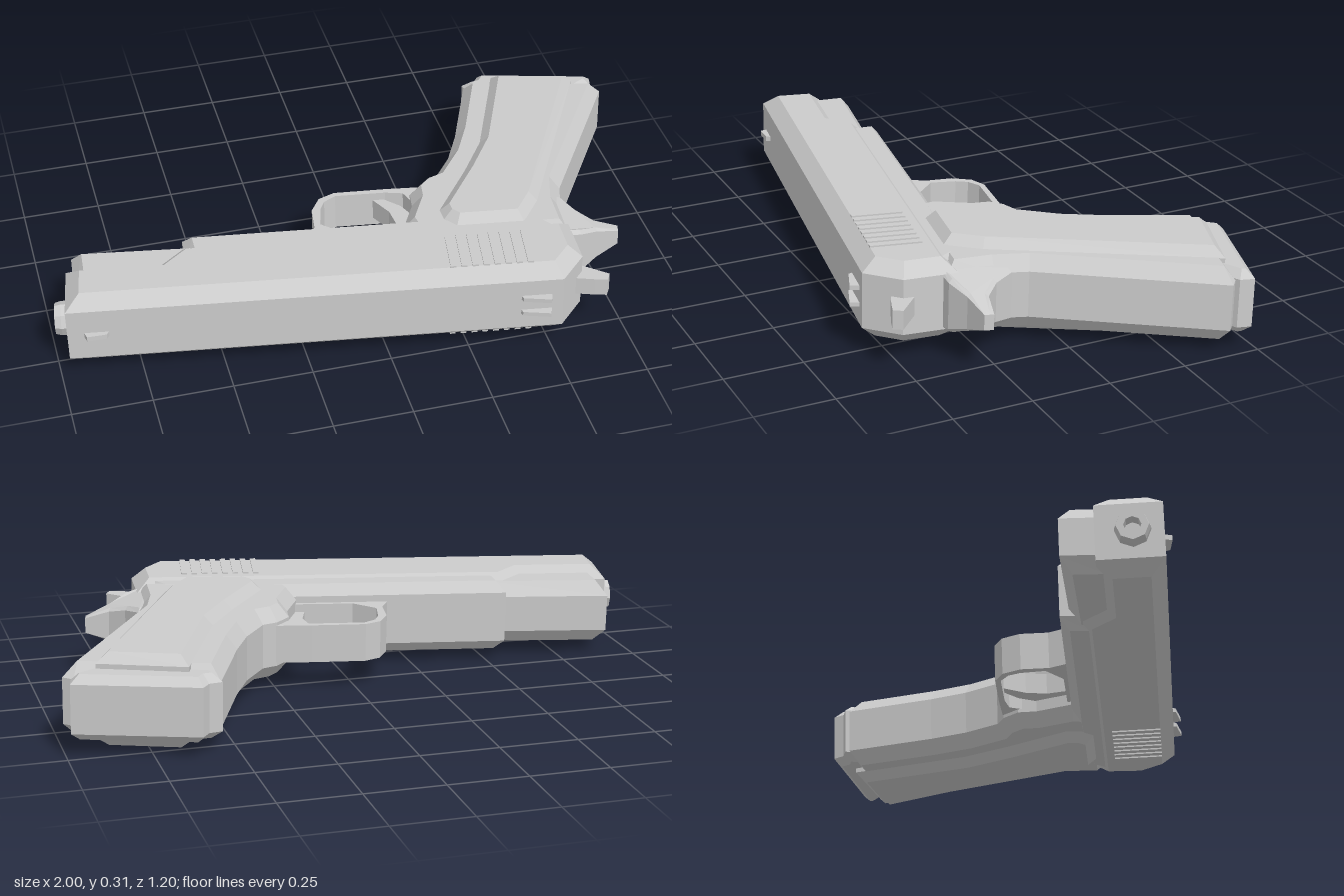
import * as THREE from 'three';

const material = new THREE.MeshStandardMaterial({ color: 0xcccccc, flatShading: true });

function addMesh(parent, name, geometry) {
  const mesh = new THREE.Mesh(geometry, material);
  mesh.name = name;
  parent.add(mesh);
  return mesh;
}

const toShape = (pts) => new THREE.Shape(pts.map(([x, y]) => new THREE.Vector2(x, y)));

// Side profile given a symmetric thickness and one flat chamfer of
// `inset` across the outline and `drop` through the thickness.
function slab(pts, half, inset = 0, drop = inset, hole = null) {
  const shape = toShape(pts);
  if (hole) shape.holes.push(toShape(hole));
  const depth = 2 * (half - drop);
  const geometry = new THREE.ExtrudeGeometry(shape, {
    depth, bevelEnabled: inset > 0, bevelSegments: 1,
    bevelSize: inset, bevelOffset: -inset, bevelThickness: drop,
  });
  return geometry.translate(0, 0, -depth / 2);
}

function box(parent, name, w, h, d, x, y, z) {
  return addMesh(parent, name, new THREE.BoxGeometry(w, h, d).translate(x, y, z));
}

// Upper assembly, drawn along the barrel axis
function buildSlide() {
  const g = new THREE.Group();
  g.name = 'slideAssembly';

  addMesh(g, 'slide', slab([
    [-0.905, 0.275], [-0.62, 0.275], [-0.55, 0.2], [0.675, 0.2],
    [0.69, 0.37], [0.615, 0.476], [-0.905, 0.476],
  ], 0.128, 0.045, 0.04));
  addMesh(g, 'slideNose', slab([
    [-0.892, 0.172], [-0.45, 0.18], [-0.45, 0.34], [-0.88, 0.34],
  ], 0.105, 0.035, 0.045));
  addMesh(g, 'dustCover', slab([
    [-0.543, 0.15], [0.25, 0.145], [0.6, 0.17], [0.66, 0.265], [-0.53, 0.265],
  ], 0.119, 0.03, 0.035));

  // Barrel end with an open bore
  const tube = [[0.026, -0.02], [0.026, 0.07], [0.048, 0.07], [0.053, 0.05], [0.053, 0], [0.026, -0.02]]
    .map(([r, y]) => new THREE.Vector2(r, y));
  addMesh(g, 'muzzle', new THREE.LatheGeometry(tube, 8).rotateZ(Math.PI / 2).translate(-0.873, 0.385, 0))
    .material = Object.assign(material.clone(), { side: THREE.DoubleSide });

  // Grip ribs at the rear of the slide
  for (const side of [-1, 1]) {
    for (let i = 0; i < 8; i++) {
      box(g, 'slideRib', 0.018, 0.16, 0.012, 0.28 + i * 0.034, 0.352, side * 0.127);
    }
  }

  // Sights
  addMesh(g, 'frontSight', slab([[-0.86, 0.46], [-0.77, 0.46], [-0.785, 0.49], [-0.845, 0.497]], 0.008));
  for (const side of [-1, 1]) {
    const ear = addMesh(g, 'rearSight', slab([[0.48, 0.46], [0.585, 0.46], [0.575, 0.504], [0.49, 0.488]], 0.007));
    ear.position.z = side * 0.027;
  }
  return g;
}

// Lower assembly, drawn in the overall top plane
function buildFrame() {
  const g = new THREE.Group();
  g.name = 'frameAssembly';

  addMesh(g, 'gripBody', slab([
    [0.13, 0.17], [0.19, 0.06], [0.2, 0.0], [0.25, -0.045], [0.3, -0.06], [0.377, -0.16],
    [0.436, -0.275], [0.55, -0.55], [0.965, -0.43], [0.995, -0.405],
    [0.675, 0.1], [0.645, 0.2], [0.63, 0.35], [0.14, 0.27],
  ], 0.118, 0.035, 0.045));
  addMesh(g, 'magazineBase', slab([
    [0.548, -0.564], [0.59, -0.57], [0.615, -0.601], [0.985, -0.485], [0.975, -0.44], [0.9, -0.4], [0.56, -0.5],
  ], 0.102, 0.025, 0.025));
  addMesh(g, 'gripPanels', slab([
    [0.25, 0.215], [0.28, 0.26], [0.49, 0.295], [0.565, 0.2], [0.9, -0.432],
    [0.64, -0.525], [0.485, -0.16], [0.39, -0.02], [0.25, 0.165],
  ], 0.147, 0.03, 0.03));

  // Tail above the grip, narrowing to the rear
  const tail = slab([
    [0.58, 0.36], [0.58, 0.15], [0.66, 0.15], [0.69, 0.215], [0.735, 0.262],
    [0.81, 0.28], [0.803, 0.308], [0.725, 0.325], [0.66, 0.355],
  ], 0.1, 0.012, 0.012);
  const pos = tail.attributes.position;
  for (let i = 0; i < pos.count; i++) {
    const t = THREE.MathUtils.clamp((pos.getX(i) - 0.62) / 0.18, 0, 1);
    pos.setZ(i, pos.getZ(i) * (1 - 0.72 * t));
  }
  addMesh(g, 'tail', tail);

  addMesh(g, 'hammer', slab([
    [0.57, 0.44], [0.62, 0.445], [0.698, 0.515], [0.682, 0.542], [0.645, 0.53], [0.57, 0.5],
  ], 0.03));

  // Trigger and its guard
  addMesh(g, 'triggerGuard', slab([
    [-0.17, 0.125], [-0.135, 0.07], [-0.122, -0.02], [-0.085, -0.075], [-0.03, -0.094],
    [0.14, -0.068], [0.26, -0.045], [0.26, 0.1], [0.2, 0.2], [-0.1, 0.16],
  ], 0.062, 0, 0, [
    [-0.112, 0.06], [-0.093, -0.02], [-0.072, -0.055], [-0.03, -0.076], [0.13, -0.05],
    [0.185, -0.03], [0.2, 0.02], [0.195, 0.08], [0.14, 0.158], [-0.05, 0.125],
  ]));
  addMesh(g, 'trigger', slab([
    [0.09, -0.058], [0.125, -0.052], [0.17, 0.0], [0.2, 0.08], [0.17, 0.17],
    [0.1, 0.17], [0.13, 0.09], [0.125, 0.02],
  ], 0.035));
  return g;
}

export function createModel() {
  // Lay the profile plane flat, with the slight lean of a resting object
  const flat = new THREE.Group();
  flat.name = 'body';
  flat.rotation.x = Math.PI / 2 - 0.028;
  const slide = buildSlide();
  slide.rotation.z = 0.168;
  flat.add(slide, buildFrame());

  const model = new THREE.Group();
  model.name = 'pistol';
  const lean = new THREE.Group();
  lean.name = 'lean';
  lean.rotation.z = 0.0108;
  lean.position.y = 0.154;
  lean.add(flat);
  model.add(lean);
  return model;
}
